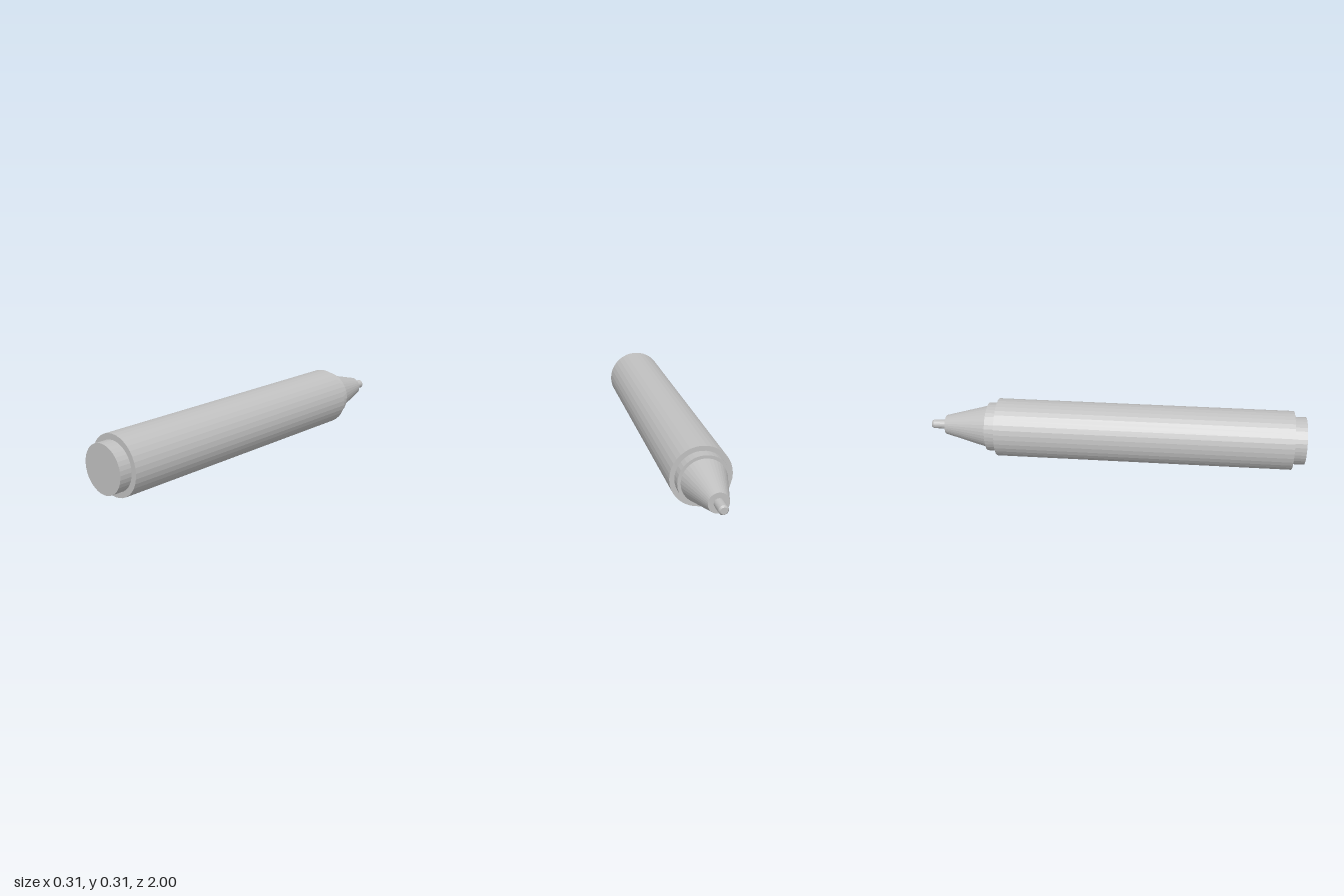
import * as THREE from 'three';

const SIDES = 36;
const AXIS_Y = 0.155;

export function createModel() {
  const model = new THREE.Group();
  model.name = 'markerPen';

  const grey = new THREE.MeshStandardMaterial({ color: 0xc0c0c0, flatShading: true });
  grey.name = 'grey';

  // Round section lying along z, from zBack to zFront
  function section(name, rFront, rBack, zFront, zBack) {
    const geometry = new THREE.CylinderGeometry(rFront, rBack, zFront - zBack, SIDES);
    geometry.rotateX(Math.PI / 2);
    const mesh = new THREE.Mesh(geometry, grey);
    mesh.name = name;
    mesh.position.set(0, AXIS_Y, (zFront + zBack) / 2);
    model.add(mesh);
  }

  section('endPlug', 0.125, 0.125, 1, 0.935);
  section('barrel', 0.155, 0.155, 0.935, -0.63);
  section('collar', 0.13, 0.13, -0.63, -0.685);
  section('nozzle', 0.114, 0.051, -0.685, -0.92);

  // Writing tip with a small bevelled end
  section('tip', 0.024, 0.024, -0.92, -0.99);
  section('tipEnd', 0.024, 0.017, -0.99, -1);

  return model;
}
